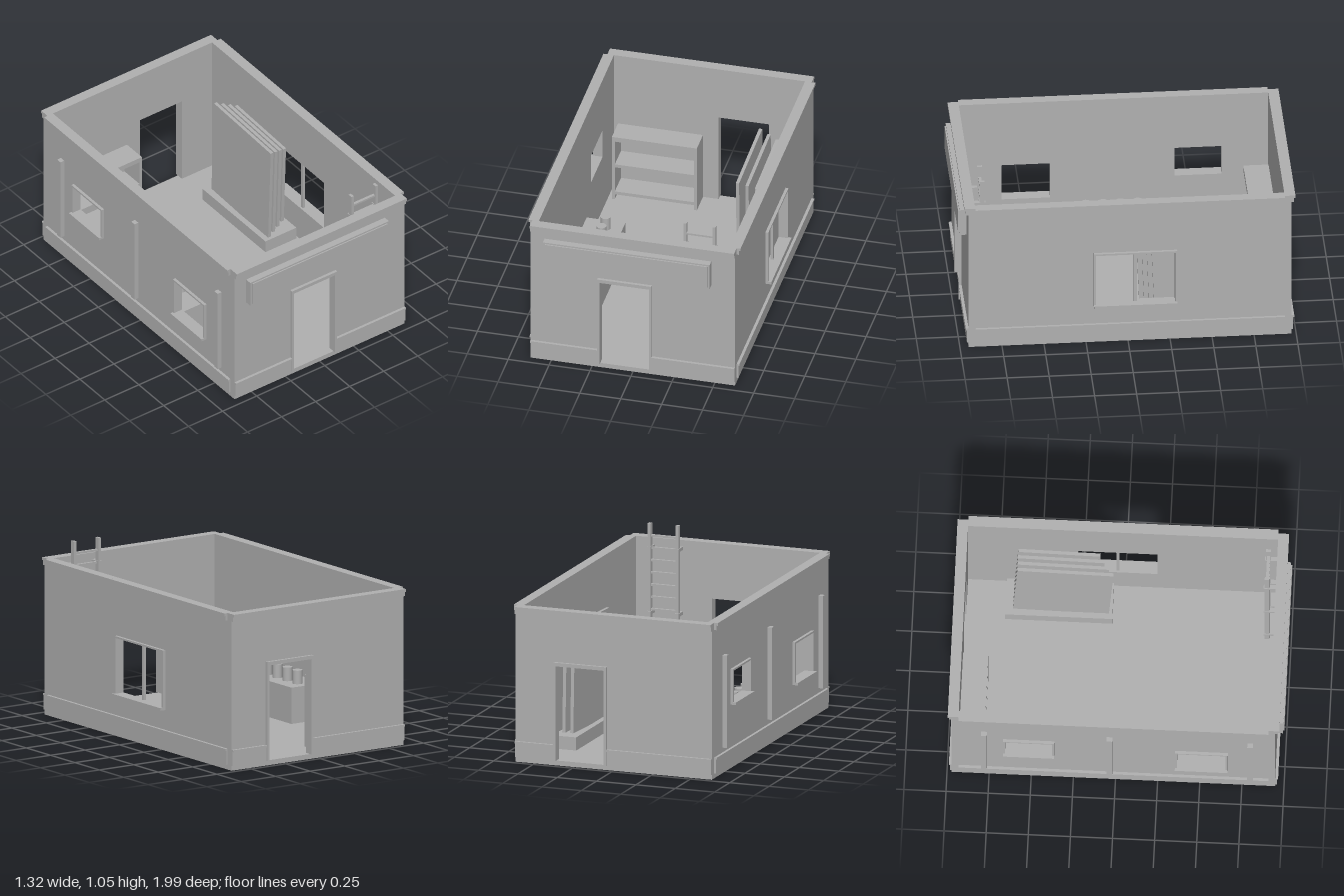
import * as THREE from 'three';

export function createModel() {
  const model = new THREE.Group();
  const grey = new THREE.MeshStandardMaterial({ color: 0xb0b0b0 });
  grey.name = 'plain grey';

  // Outer faces of the shell, wall thickness, and heights
  const X0 = -0.625, X1 = 0.623, Z0 = -0.972, Z1 = 0.948, T = 0.04;
  const FLOOR = 0.03, TOP = 0.95;
  const ZI0 = Z0 + T, ZI1 = Z1 - T;

  function add(name, geometry, parent = model) {
    const mesh = new THREE.Mesh(geometry, grey);
    mesh.name = name;
    parent.add(mesh);
    return mesh;
  }

  // Box given by its extents on each axis
  function box(name, x0, x1, y0, y1, z0, z1, parent = model) {
    const mesh = add(name, new THREE.BoxGeometry(x1 - x0, y1 - y0, z1 - z0), parent);
    mesh.position.set((x0 + x1) / 2, (y0 + y1) / 2, (z0 + z1) / 2);
    return mesh;
  }

  function group(name) {
    const g = new THREE.Group();
    g.name = name;
    model.add(g);
    return g;
  }

  // Wall slab in its own u/y plane, with an optional doorway and window holes
  function wall(name, u0, u1, door, windows = []) {
    const s = new THREE.Shape();
    s.moveTo(u0, FLOOR);
    if (door) {
      s.lineTo(door[0], FLOOR);
      s.lineTo(door[0], door[2]);
      s.lineTo(door[1], door[2]);
      s.lineTo(door[1], FLOOR);
    }
    s.lineTo(u1, FLOOR);
    s.lineTo(u1, TOP);
    s.lineTo(u0, TOP);
    s.closePath();
    for (const [a, b, y0, y1] of windows) {
      const h = new THREE.Path();
      h.moveTo(a, y0);
      h.lineTo(a, y1);
      h.lineTo(b, y1);
      h.lineTo(b, y0);
      h.closePath();
      s.holes.push(h);
    }
    return add(name, new THREE.ExtrudeGeometry(s, { depth: T, bevelEnabled: false }));
  }

  // Shell
  const frontDoor = [-0.2, 0.101, 0.609], backDoor = [0.055, 0.362, 0.609];
  const rightWindow = [-0.28, 0.192, 0.263, 0.6];
  const leftWindows = [[-0.655, -0.375, 0.405, 0.595], [0.365, 0.655, 0.29, 0.525]];
  box('floorSlab', X0, X1, 0, FLOOR, Z0, Z1);
  wall('frontWall', X0, X1, frontDoor).position.z = ZI1;
  wall('backWall', X0, X1, backDoor).position.z = Z0;
  const sideA = wall('windowWall', ZI0, ZI1, null, [rightWindow]);
  const sideB = wall('pilasterWall', ZI0, ZI1, null, leftWindows);
  sideA.rotation.y = sideB.rotation.y = -Math.PI / 2;
  sideA.position.x = X1;
  sideB.position.x = X0 + T;

  // Strip on the outside of a wall: s is the outward sign, d the projection
  const onX = (name, s, d, z0, z1, y0, y1) => s > 0
    ? box(name, X1, X1 + d, y0, y1, z0, z1)
    : box(name, X0 - d, X0, y0, y1, z0, z1);
  const onZ = (name, s, d, x0, x1, y0, y1) => s > 0
    ? box(name, x0, x1, y0, y1, Z1, Z1 + d)
    : box(name, x0, x1, y0, y1, Z0 - d, Z0);

  // Cornices, skirting and door frames
  for (const s of [1, -1]) {
    onX('sideCornice', s, 0.015, ZI0, ZI1, 0.905, 0.933);
    onX('sideCorniceLip', s, 0.024, ZI0, ZI1, 0.933, TOP);
    onX('sideSkirting', s, 0.01, ZI0, ZI1, FLOOR, 0.115);
    onX('sideSkirtingLip', s, 0.017, ZI0, ZI1, 0.115, 0.127);
    onZ('endCornice', s, 0.015, X0, X1, 0.905, 0.933);
    onZ('endCorniceLip', s, 0.024, X0, X1, 0.933, TOP);

    const [a, b, h] = s > 0 ? frontDoor : backDoor;
    const w = 0.015;
    for (const [x0, x1] of [[X0, a - w], [b + w, X1]]) {
      onZ('endSkirting', s, 0.01, x0, x1, FLOOR, 0.115);
      onZ('endSkirtingLip', s, 0.017, x0, x1, 0.115, 0.127);
    }
    onZ('doorJamb', s, 0.018, a - w, a, FLOOR, h);
    onZ('doorJamb', s, 0.018, b, b + w, FLOOR, h);
    onZ('doorHead', s, 0.018, a - w, b + w, h, h + 0.022);
  }

  // Window frames with projecting sills
  function windowFrame(s, [a, b, y0, y1]) {
    const w = 0.012;
    onX('windowJamb', s, 0.018, a - w, a, y0, y1);
    onX('windowJamb', s, 0.018, b, b + w, y0, y1);
    onX('windowHead', s, 0.018, a - w, b + w, y1, y1 + 0.011);
    onX('windowSill', s, 0.037, a - w, b + w, y0 - 0.016, y0);
  }
  windowFrame(1, rightWindow);
  leftWindows.forEach((o) => windowFrame(-1, o));
  box('windowMullion', X1 - 0.028, X1 - 0.012, rightWindow[2], rightWindow[3], -0.053, -0.035);

  // Upright strips on the left-hand outer wall
  for (const z of [-0.78, -0.035, 0.8]) onX('pilaster', -1, 0.028, z - 0.017, z + 0.017, 0.156, 0.72);

  // Blank sign board over the front door
  box('signBoard', -0.54, 0.478, 0.688, 0.858, Z1, 0.99);
  box('signPanel', -0.526, 0.465, 0.7, 0.848, 0.99, 0.998);

  // Shelf unit against the back wall
  const shelves = group('shelfUnit');
  const [sx0, sx1, sz1, p] = [-0.56, -0.041, -0.782, 0.018];
  box('shelfSide', sx0, sx0 + p, FLOOR, 0.438, ZI0, sz1, shelves);
  box('shelfSide', sx1 - p, sx1, FLOOR, 0.438, ZI0, sz1, shelves);
  box('shelfTop', sx0, sx1, 0.438, 0.469, ZI0, sz1, shelves);
  for (const y of [0.064, 0.256]) box('shelf', sx0 + p, sx1 - p, y, y + 0.021, ZI0, sz1, shelves);

  // Counter with a row of canisters
  const counter = group('counter');
  box('counterBody', -0.576, -0.339, FLOOR, 0.25, -0.227, 0.345, counter);
  for (let i = 0; i < 4; i++) {
    const can = add('canister', new THREE.CylinderGeometry(0.03, 0.03, 0.082, 16), counter);
    can.position.set(-0.44, 0.291, -0.145 + i * 0.103);
  }

  // Low plinth holding four slightly tilted sheets
  const rack = group('sheetRack');
  box('plinth', 0.342, 0.569, FLOOR, 0.11, -0.7, -0.065, rack);
  for (let i = 0; i < 4; i++) {
    const len = 0.57 - i * 0.027, h = 0.655 - i * 0.03;
    const sheet = add('sheet', new THREE.BoxGeometry(0.02, h, len), rack);
    sheet.position.set(0.387 + i * 0.051, 0.11 + h / 2, -0.643 + len / 2);
    sheet.rotation.x = 0.04;
  }

  // Wall ladder inside the front wall
  const ladder = group('ladder');
  for (const x of [0.289, 0.466]) {
    box('ladderRail', x, x + 0.018, FLOOR, 1.05, 0.842, 0.872, ladder);
    for (const y of [0.11, 0.505, 0.9])
      box('ladderBracket', x - 0.004, x + 0.022, y - 0.01, y + 0.01, 0.836, ZI1, ladder);
  }
  for (let i = 0; i < 13; i++) {
    const y = 0.975 - i * 0.075;
    box('ladderRung', 0.307, 0.466, y - 0.006, y + 0.006, 0.848, 0.866, ladder);
  }

  return model;
}
